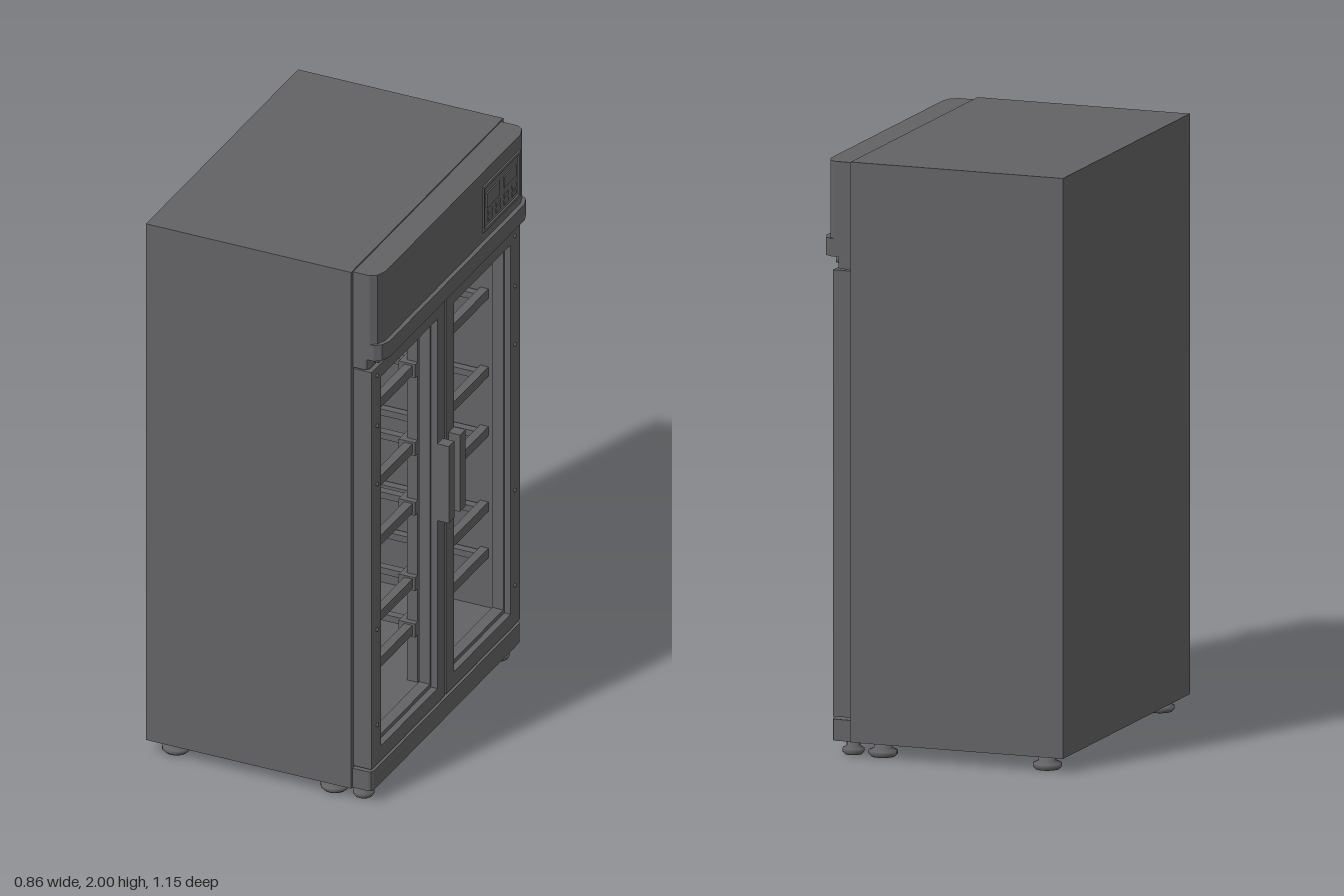
import * as THREE from 'three';

export function createModel() {
  const model = new THREE.Group();
  const grey = new THREE.MeshStandardMaterial({ color: 0x636365 });
  grey.name = 'steel grey';

  const add = (name, geo, parent = model) => {
    const mesh = new THREE.Mesh(geo, grey);
    mesh.name = name;
    parent.add(mesh);
    return mesh;
  };
  // Box given by its limits on each axis
  const box = (name, x0, x1, y0, y1, z0, z1, parent = model) => {
    const mesh = add(name, new THREE.BoxGeometry(x1 - x0, y1 - y0, z1 - z0), parent);
    mesh.position.set((x0 + x1) / 2, (y0 + y1) / 2, (z0 + z1) / 2);
    return mesh;
  };
  // Plan outline with chamfered front corners, extruded upwards
  const slab = (name, x0, x1, y0, y1, halfZ, cutX, cutZ) => {
    const pts = [[x0, -halfZ], [x1 - cutX, -halfZ], [x1 - cutX * 0.35, -halfZ + cutZ * 0.3],
      [x1, -halfZ + cutZ], [x1, halfZ - cutZ], [x1 - cutX * 0.35, halfZ - cutZ * 0.3],
      [x1 - cutX, halfZ], [x0, halfZ]];
    const shape = new THREE.Shape(pts.map(p => new THREE.Vector2(...p)));
    const geo = new THREE.ExtrudeGeometry(shape, { depth: y1 - y0, bevelEnabled: false });
    geo.rotateX(-Math.PI / 2);
    add(name, geo).position.y = y0;
  };

  // Hollow cabinet, open towards +x
  box('backWall', -0.43, -0.38, 0.05, 2, -0.575, 0.575);
  box('cabinetTop', -0.38, 0.32, 1.64, 2, -0.575, 0.575);
  box('cabinetFloor', -0.38, 0.32, 0.05, 0.17, -0.575, 0.575);
  for (const s of [-1, 1]) {
    box('sideWall', -0.38, 0.32, 0.17, 1.64, Math.min(s * 0.575, s * 0.525), Math.max(s * 0.575, s * 0.525));
  }

  // Header, its lower lip, the strip above the doors and the plinth
  slab('header', 0.32, 0.415, 1.7, 1.995, 0.56, 0.035, 0.05);
  slab('headerLip', 0.32, 0.43, 1.675, 1.735, 0.56, 0.035, 0.05);
  slab('doorTopStrip', 0.32, 0.375, 1.635, 1.675, 0.56, 0.015, 0.015);
  slab('plinth', 0.32, 0.392, 0.05, 0.122, 0.565, 0.015, 0.015);

  // Control panel with a raised rim, display and keys
  const panel = new THREE.Group();
  panel.name = 'controlPanel';
  model.add(panel);
  for (const y of [1.77, 1.932]) box('panelRim', 0.41, 0.421, y, y + 0.01, -0.5, -0.22, panel);
  for (const z of [-0.5, -0.23]) box('panelRim', 0.41, 0.421, 1.78, 1.932, z, z + 0.01, panel);
  box('display', 0.41, 0.42, 1.85, 1.905, -0.345, -0.25, panel);
  for (let row = 0; row < 2; row++) {
    for (let i = 0; i < 4; i++) {
      const z = -0.275 - i * 0.06;
      box('key', 0.41, 0.419, 1.795 + row * 0.025, 1.81 + row * 0.025, z - 0.015, z + 0.015, panel);
    }
  }
  box('switchPlate', 0.41, 0.419, 1.86, 1.9, -0.47, -0.38, panel);

  // Pair of framed doors with handles and hinges
  for (const s of [-1, 1]) {
    const door = new THREE.Group();
    door.name = s > 0 ? 'leftDoor' : 'rightDoor';
    model.add(door);
    const zBox = (name, x0, x1, y0, y1, a, b) =>
      box(name, x0, x1, y0, y1, Math.min(s * a, s * b), Math.max(s * a, s * b), door);
    const shape = new THREE.Shape();
    shape.moveTo(0.004, 0.13).lineTo(0.56, 0.13).lineTo(0.56, 1.63).lineTo(0.004, 1.63).closePath();
    const hole = new THREE.Path();
    hole.moveTo(0.063, 0.185).lineTo(0.063, 1.58).lineTo(0.49, 1.58).lineTo(0.49, 0.185).closePath();
    shape.holes.push(hole);
    const geo = new THREE.ExtrudeGeometry(shape, { depth: 0.066, bevelEnabled: false });
    geo.rotateY(Math.PI / 2); // shape x becomes -z
    const frame = add('doorFrame', geo, door);
    frame.position.set(0.322, 0, s > 0 ? 0.564 : 0);
    // Inner seal around the opening
    zBox('seal', 0.325, 0.365, 0.185, 1.58, 0.482, 0.49);
    zBox('seal', 0.325, 0.365, 0.185, 1.58, 0.063, 0.071);
    zBox('seal', 0.325, 0.365, 1.56, 1.58, 0.071, 0.482);
    zBox('seal', 0.325, 0.365, 0.185, 0.2, 0.071, 0.482);
    if (s > 0) {
      // Turn the frame so its narrow stile meets the centre
      frame.rotation.y = Math.PI;
      frame.position.set(0.388, 0, 0);
    }
    zBox('handle', 0.388, 0.43, 0.82, 1.11, 0.022, 0.064);
    // Hinge pins above and screw heads on the edge
    for (const z of [0.03, 0.51]) {
      const pin = add('hingePin', new THREE.CylinderGeometry(0.011, 0.011, 0.02, 12), door);
      pin.rotation.z = Math.PI / 2;
      pin.position.set(0.383, 1.655, s * z);
    }
    for (const y of [0.28, 0.64, 1.19, 1.41, 1.6]) {
      const screw = add('screwHead', new THREE.SphereGeometry(0.007, 8, 6), door);
      screw.position.set(0.388, y, s * 0.52);
    }
  }

  // Shelf supports: rails along the front, back and sides
  const shelves = new THREE.Group();
  shelves.name = 'shelfRails';
  model.add(shelves);
  for (const y of [1.355, 1.06, 0.835, 0.55, 0.375]) {
    box('frontRail', 0.26, 0.29, y - 0.018, y + 0.018, -0.525, 0.525, shelves);
    for (const z of [-0.5, 0, 0.5]) {
      box('sideRail', -0.38, 0.26, y - 0.012, y + 0.012, z - 0.014, z + 0.014, shelves);
    }
    box('bracket', 0.24, 0.3, y - 0.025, y + 0.025, -0.05, 0.05, shelves);
  }
  box('rearRail', -0.38, -0.35, 1.13, 1.165, -0.525, 0.525, shelves);
  box('centrePost', 0.26, 0.3, 0.17, 1.64, -0.03, 0.03, shelves);
  box('rearPost', -0.38, -0.35, 0.17, 1.64, 0.08, 0.115, shelves);

  // Levelling feet
  const footProfile = [[0, 0], [0.04, 0], [0.048, 0.008], [0.048, 0.02], [0.03, 0.028], [0.03, 0.055], [0, 0.055]]
    .map(p => new THREE.Vector2(...p));
  for (const s of [-1, 1]) {
    for (const [x, size] of [[-0.35, 1], [0.23, 1], [0.335, 0.75]]) {
      const foot = add('foot', new THREE.LatheGeometry(footProfile, 16));
      foot.position.set(x, 0, s * 0.51);
      foot.scale.set(size, 1, size);
    }
  }
  return model;
}
